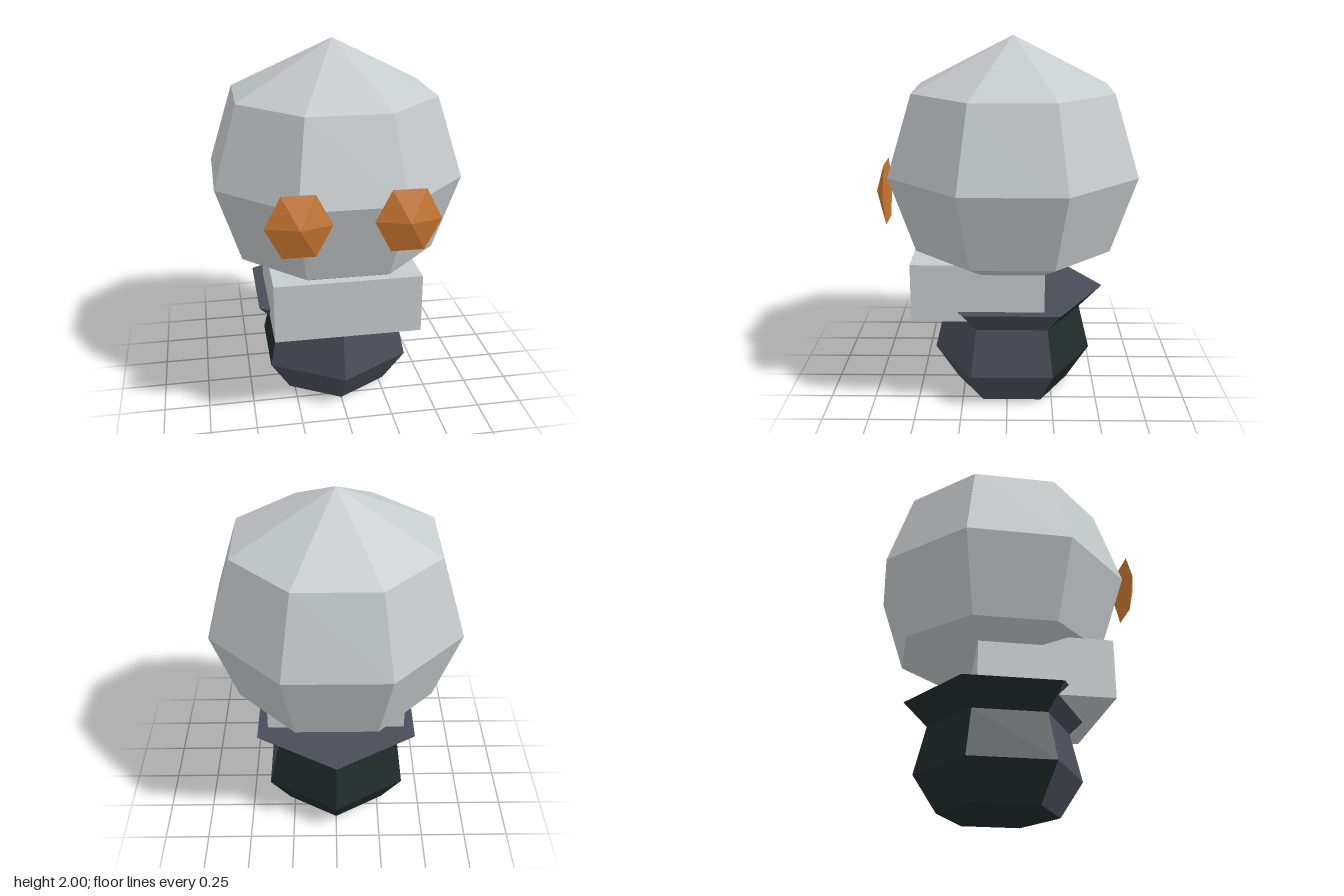
import * as THREE from 'three';

const flat = (name, color) => {
  const m = new THREE.MeshStandardMaterial({ color, flatShading: true });
  m.name = name;
  return m;
};

export function createModel() {
  const grey = flat('light grey', 0xc6cbcd);
  const orange = flat('orange', 0xcb7830);
  const slate = flat('slate', 0x4a4d59);
  const dark = flat('dark green', 0x202c2b);

  const root = new THREE.Group();
  const add = (name, geometry, material, x, y, z) => {
    const mesh = new THREE.Mesh(geometry, material);
    mesh.name = name;
    mesh.position.set(x, y, z);
    root.add(mesh);
    return mesh;
  };
  const profile = (pts) => pts.map(([r, y]) => new THREE.Vector2(r, y));

  // Eight-sided faceted skull
  const skull = profile([[0, 0.58], [0.568, 0.87], [0.709, 1.29], [0.568, 1.72], [0, 2]]);
  add('head', new THREE.LatheGeometry(skull, 8, Math.PI / 8), grey, 0, 0, -0.03);

  // Block jaw
  add('jaw', new THREE.BoxGeometry(0.78, 0.32, 0.71), grey, 0, 0.69, 0.155);

  // Six-sided shallow cone eyes
  for (const side of [1, -1]) {
    const cone = new THREE.ConeGeometry(0.168, 0.055, 6);
    cone.rotateY(Math.PI / 6).rotateX(Math.PI / 2).scale(1, 1.1, 1);
    add(side > 0 ? 'leftEye' : 'rightEye', cone, orange, side * 0.27, 1.22, 0.6535);
  }

  // Six-sided body with flared collar: half slate, half dark
  const body = profile([[0.322, 0], [0.45, 0.195], [0.387, 0.455], [0.516, 0.585]]);
  add('bodyFront', new THREE.LatheGeometry(body, 3, -Math.PI / 3, Math.PI), slate, 0, 0, -0.027);
  add('bodyBack', new THREE.LatheGeometry(body, 3, Math.PI * 2 / 3, Math.PI), dark, 0, 0, -0.027);

  // Collar top and base
  const top = new THREE.CircleGeometry(0.516, 6, Math.PI / 2).rotateX(-Math.PI / 2);
  add('collarTop', top, slate, 0, 0.585, -0.027);
  const base = new THREE.CircleGeometry(0.322, 6, Math.PI / 2).rotateX(Math.PI / 2);
  add('base', base, dark, 0, 0, -0.027);

  return root;
}
